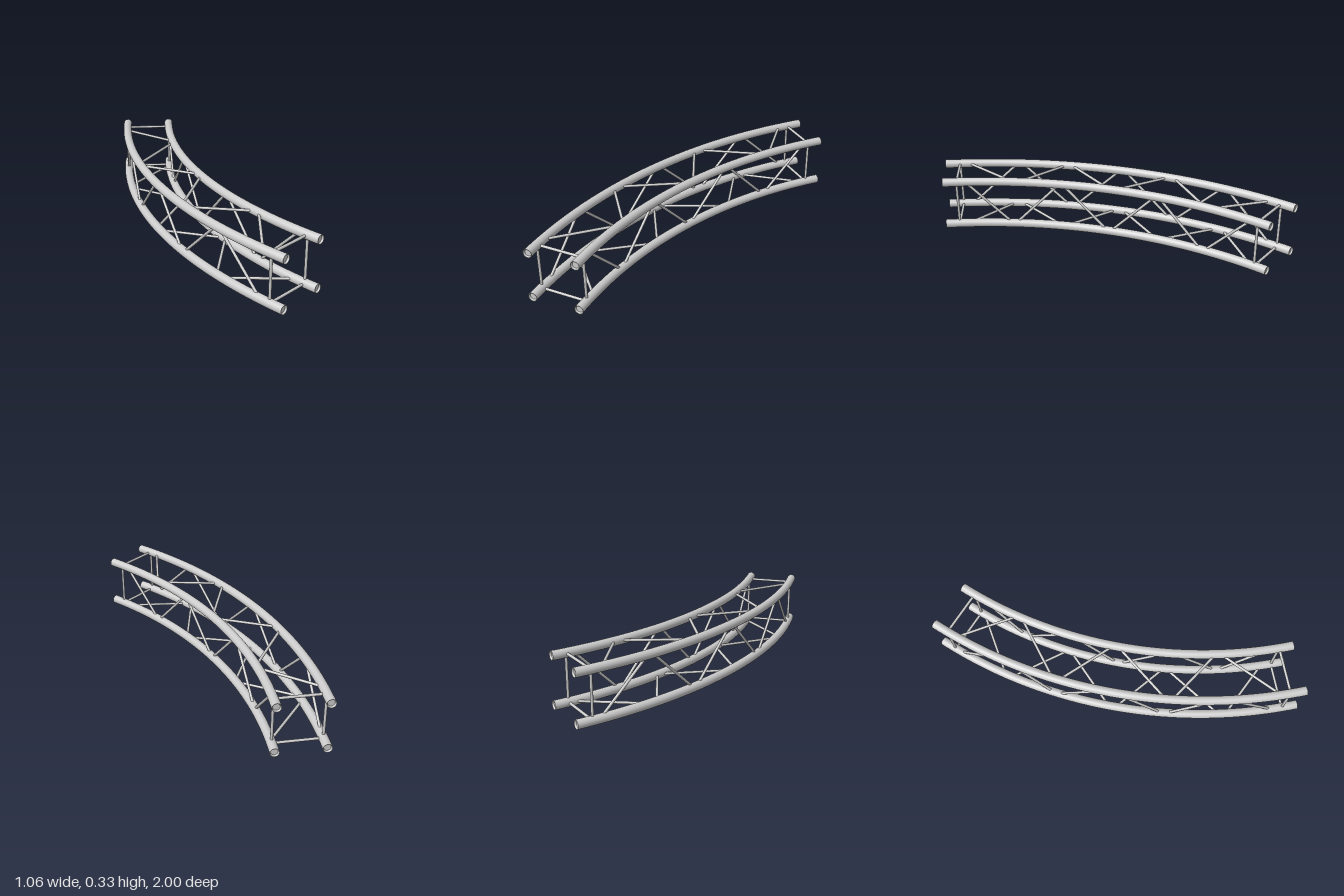
import * as THREE from 'three';

const CX = 2.299, CZ = 1;            // centre of the bend, in plan
const R_OUT = 2.802, R_IN = 2.528;   // radii of the outer and inner chords
const Y_LOW = 0.026, Y_HIGH = 0.3;   // heights of the chords
const SWEEP = Math.PI / 4;
const CHORD_R = 0.0258, BAR_R = 0.008;

const material = new THREE.MeshStandardMaterial({ color: 0xcccccc });

// Point on a chord at a given angle from the front end
const at = (r, y, a) => new THREE.Vector3(CX - r * Math.cos(a), y, CZ - r * Math.sin(a));

class Arc extends THREE.Curve {
  constructor(r, y) {
    super();
    this.r = r;
    this.y = y;
  }
  getPoint(t, target = new THREE.Vector3()) {
    return target.copy(at(this.r, this.y, t * SWEEP));
  }
}

export function createModel() {
  const model = new THREE.Group();
  const up = new THREE.Vector3(0, 1, 0);

  const add = (geometry, name) => {
    const mesh = new THREE.Mesh(geometry, material);
    mesh.name = name;
    model.add(mesh);
    return mesh;
  };

  // Thin round bar between two points
  const bar = (name, p, q) => {
    const dir = q.clone().sub(p);
    const mesh = add(new THREE.CylinderGeometry(BAR_R, BAR_R, dir.length(), 12), name);
    mesh.position.copy(p).lerp(q, 0.5);
    mesh.quaternion.setFromUnitVectors(up, dir.normalize());
  };

  // Collar with a bevelled, recessed end; its mouth is at y = 0, facing +y
  const collarProfile = [
    [CHORD_R + 0.0002, -0.05], [CHORD_R + 0.0002, 0], [CHORD_R + 0.0002, 0],
    [0.024, 0], [0.024, 0], [0.019, -0.01], [0.019, -0.01], [0, -0.01],
  ].map(([x, y]) => new THREE.Vector2(x, y));
  const collar = new THREE.LatheGeometry(collarProfile, 24);

  // Four curved chords with their end collars
  for (const r of [R_OUT, R_IN]) {
    for (const y of [Y_LOW, Y_HIGH]) {
      const side = (y === Y_HIGH ? 'upper' : 'lower') + (r === R_OUT ? 'Outer' : 'Inner');
      add(new THREE.TubeGeometry(new Arc(r, y), 48, CHORD_R, 24), side + 'Chord');
      for (const [a, sign] of [[0, -1], [SWEEP, 1]]) {
        const mesh = add(collar, side + 'Collar');
        mesh.position.copy(at(r, y, a));
        const out = new THREE.Vector3(Math.sin(a), 0, -Math.cos(a)).multiplyScalar(sign);
        mesh.quaternion.setFromUnitVectors(up, out);
      }
    }
  }

  // Square frame of posts and crossbars near each end
  for (const a of [0.032, 0.753]) {
    for (const r of [R_OUT, R_IN]) bar('endPost', at(r, Y_LOW, a), at(r, Y_HIGH, a));
    for (const y of [Y_LOW, Y_HIGH]) bar('endCrossbar', at(R_OUT, y, a), at(R_IN, y, a));
  }

  // Six zigzag braces on each face
  for (let i = 0; i < 6; i++) {
    const odd = i % 2 === 1;
    const pair = Math.floor(i / 2) * 0.231;

    // Top starts at the outer chord, bottom at the inner one
    const t0 = pair + (odd ? 0.176 : 0.051);
    const t1 = t0 + (odd ? 0.093 : 0.115);
    bar('topBrace', at(odd ? R_IN : R_OUT, Y_HIGH, t0), at(odd ? R_OUT : R_IN, Y_HIGH, t1));
    const b0 = pair + (odd ? 0.167 : 0.056);
    const b1 = b0 + (odd ? 0.115 : 0.095);
    bar('bottomBrace', at(odd ? R_OUT : R_IN, Y_LOW, b0), at(odd ? R_IN : R_OUT, Y_LOW, b1));

    // Outer side starts low, inner side starts high
    const s0 = 0.055 + 0.1155 * i, s1 = s0 + 0.105;
    const [from, to] = odd ? [Y_HIGH, Y_LOW] : [Y_LOW, Y_HIGH];
    bar('outerBrace', at(R_OUT, from, s0), at(R_OUT, to, s1));
    bar('innerBrace', at(R_IN, to, s0 - 0.003), at(R_IN, from, s1));
  }

  return model;
}
